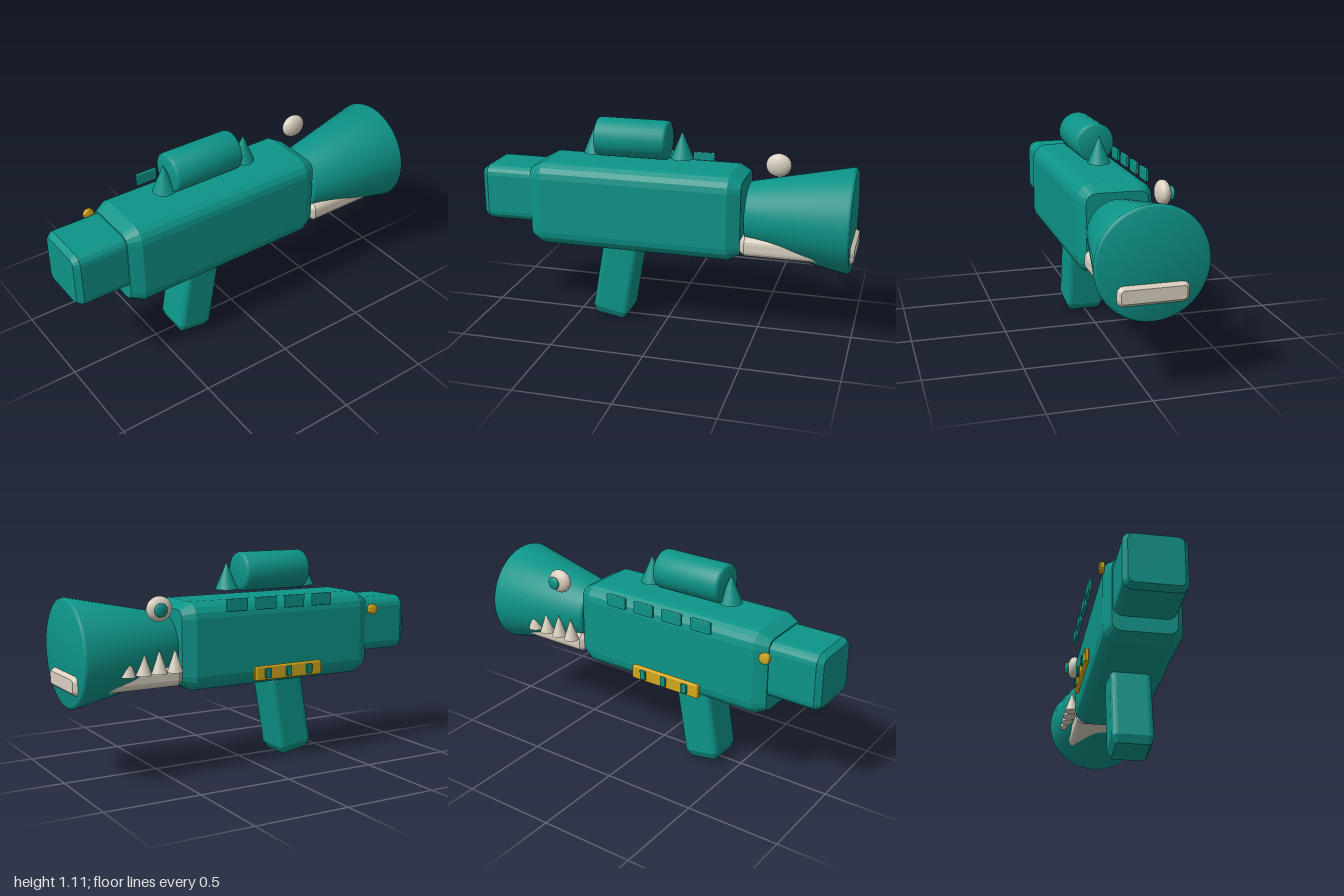
import * as THREE from 'three';
import { toCreasedNormals } from 'three/addons/utils/BufferGeometryUtils.js';

const material = (name, color) => {
  const m = new THREE.MeshStandardMaterial({ color });
  m.name = name;
  return m;
};

// Box with faceted long edges and bevelled ends, long axis along z
function block(w, h, d, r, bevel, bevelZ) {
  const s = new THREE.Shape(), x = w / 2, y = h / 2;
  s.moveTo(-x + r, -y);
  s.lineTo(x - r, -y);
  s.absarc(x - r, -y + r, r, -Math.PI / 2, 0);
  s.lineTo(x, y - r);
  s.absarc(x - r, y - r, r, 0, Math.PI / 2);
  s.lineTo(-x + r, y);
  s.absarc(-x + r, y - r, r, Math.PI / 2, Math.PI);
  s.lineTo(-x, -y + r);
  s.absarc(-x + r, -y + r, r, Math.PI, Math.PI * 1.5);
  const depth = d - 2 * bevelZ;
  const g = new THREE.ExtrudeGeometry(s, {
    depth, curveSegments: 2, bevelEnabled: true, bevelSegments: 1,
    bevelSize: bevel, bevelOffset: -bevel, bevelThickness: bevelZ,
  });
  return g.translate(0, 0, -depth / 2);
}

// Round drum along z with softened rims; r0 at the rear, r1 at the front
function drum(r0, r1, length, soft) {
  const h = length / 2, k = soft * 0.3;
  const profile = [
    [0, -h], [r0 - soft, -h], [r0 - k, -h + k], [r0, -h + soft],
    [r1, h - soft], [r1 - k, h - k], [r1 - soft, h], [0, h],
  ].map(([x, y]) => new THREE.Vector2(x, y));
  return toCreasedNormals(new THREE.LatheGeometry(profile, 48), 0.9).rotateX(Math.PI / 2);
}

export function createModel() {
  const teal = material('teal', 0x0d9488);
  const bone = material('bone', 0xd9d0c0);
  const gold = material('gold', 0xd4a81e);
  const model = new THREE.Group();
  model.name = 'toyBlaster';

  const add = (name, geometry, mat, x, y, z) => {
    const mesh = new THREE.Mesh(geometry, mat);
    mesh.name = name;
    mesh.position.set(x, y, z);
    model.add(mesh);
    return mesh;
  };

  // Main body and square front block
  add('body', block(0.39, 0.455, 1.14, 0.08, 0.035, 0.065), teal, 0, 0.65, 0.15);
  add('frontBlock', block(0.31, 0.3, 0.34, 0.05, 0.022, 0.03), teal, 0, 0.685, 0.83);

  // Tilted grip
  const grip = add('grip', block(0.21, 0.2, 0.46, 0.03, 0.02, 0.04), teal, 0, 0.24, 0.273);
  grip.rotation.x = -(Math.PI / 2 + 0.17);

  // Flared rear horn
  add('rearHorn', drum(0.275, 0.167, 0.545, 0.015), teal, 0, 0.65, -0.7075);

  // Top tube between two spikes
  add('topTube', drum(0.103, 0.103, 0.39, 0.015), teal, 0, 1.005, 0.19);
  for (const z of [0.405, -0.075])
    add('topSpike', new THREE.ConeGeometry(0.06, 0.145, 32), teal, 0, 0.9875, z);

  // Lower jaw and its row of teeth
  add('jaw', block(0.35, 0.105, 0.58, 0.035, 0.02, 0.025), bone, 0, 0.513, -0.71);
  for (let i = 0; i < 4; i++)
    add('tooth', new THREE.ConeGeometry(0.04, 0.12, 24), bone, -0.2, 0.605, -0.48 - i * 0.085);

  // Eye
  add('eye', new THREE.SphereGeometry(1, 32, 20).scale(0.038, 0.063, 0.068), bone, -0.183, 0.862, -0.555);
  add('pupil', new THREE.SphereGeometry(1, 24, 16).scale(0.014, 0.035, 0.035), teal, -0.225, 0.86, -0.565);

  // Side vents
  for (let i = 0; i < 4; i++)
    add('sideVent', block(0.018, 0.065, 0.118, 0.005, 0.003, 0.006), teal, -0.225, 0.86, 0.375 - i * 0.172);

  // Gold side panel with small studs
  add('sidePanel', block(0.025, 0.075, 0.41, 0.008, 0.005, 0.008), gold, -0.2275, 0.495, 0.168);
  for (let i = 0; i < 3; i++)
    add('panelStud', block(0.014, 0.052, 0.035, 0.004, 0.003, 0.004), teal, -0.242, 0.495, 0.035 + i * 0.128);

  // Gold button
  add('button', drum(0.029, 0.029, 0.024, 0.005).rotateY(Math.PI / 2), gold, -0.21, 0.78, 0.728);

  return model;
}
